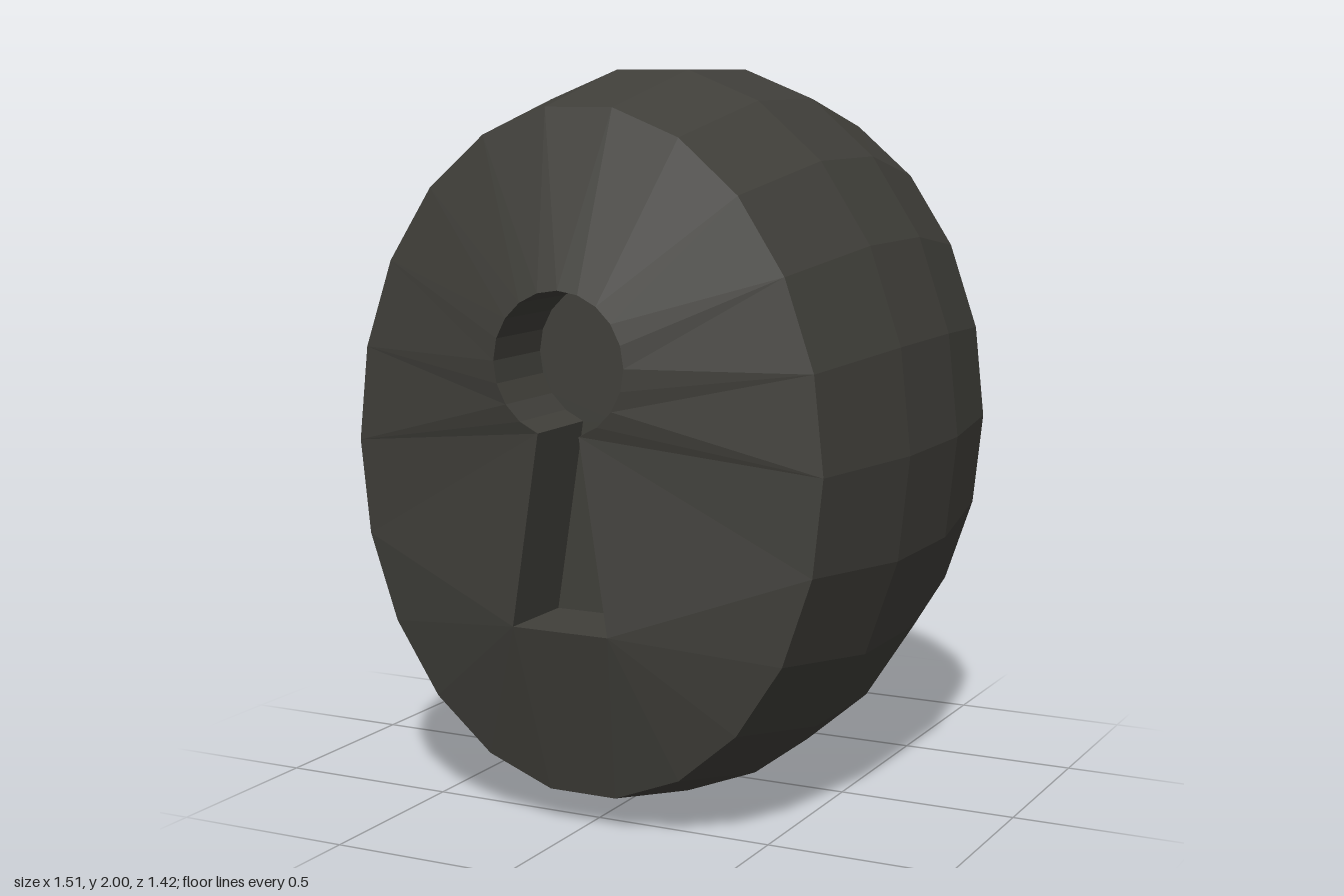
import * as THREE from 'three';

const SIDES = 22, MID_Y = 1;
const RIM_Z = 0.593, FACE_Z = 0.71, FLOOR_Z = 0.47;

// Oval cross-section, counter-clockwise from the lower left vertex of the flat bottom
function oval(rx, ry, z) {
  return Array.from({ length: SIDES }, (_, i) => {
    const a = -Math.PI / 2 + ((i - 0.5) / SIDES) * Math.PI * 2;
    return new THREE.Vector3(rx * Math.cos(a), MID_Y + ry * Math.sin(a), z);
  });
}

// Keyhole outline, counter-clockwise from the lower left corner
function keyhole(z) {
  const pts = [[-0.14, 0.56], [0.14, 0.56]];
  const steps = 18, r = 0.19, cy = 1.257, start = -1.25;
  const sweep = Math.PI - 2 * start;
  for (let i = 0; i <= steps; i++) {
    const a = start + (sweep * i) / steps;
    pts.push([r * Math.cos(a), cy + r * Math.sin(a)]);
  }
  return pts.map(([x, y]) => new THREE.Vector3(x, y, z));
}

// Band of quads between two matching loops, a in front of b, facing outward
function band(a, b) {
  return a.flatMap((p, i) => {
    const k = (i + 1) % a.length;
    return [p, b[i], b[k], p, b[k], a[k]];
  });
}

// Ring of triangles between two loops of different counts, facing +z
function stitch(outer, inner) {
  const tris = [];
  const n = outer.length, m = inner.length;
  let i = 0, j = 0;
  while (i < n || j < m) {
    const o = outer[i % n], o2 = outer[(i + 1) % n];
    const p = inner[j % m], p2 = inner[(j + 1) % m];
    if (j >= m || (i < n && o2.distanceTo(p) <= o.distanceTo(p2))) {
      tris.push(o, o2, p);
      i++;
    } else {
      tris.push(o, p2, p);
      j++;
    }
  }
  return tris;
}

export function createModel() {
  const group = new THREE.Group();
  const material = new THREE.MeshStandardMaterial({ color: 0x403f3a, flatShading: true });

  const add = (parent, name, points) => {
    const geometry = new THREE.BufferGeometry().setFromPoints(points);
    geometry.computeVertexNormals();
    const mesh = new THREE.Mesh(geometry, material);
    mesh.name = name;
    parent.add(mesh);
  };

  // Barrel-shaped body
  const rings = [
    oval(0.687, 0.915, RIM_Z), oval(0.757, 1.01, 0.18),
    oval(0.757, 1.01, -0.18), oval(0.687, 0.915, -RIM_Z),
  ];
  add(group, 'body', rings.slice(1).flatMap((ring, i) => band(rings[i], ring)));

  // Sloped face with a recessed keyhole, the same on both ends
  const edge = keyhole(FACE_Z), floorEdge = keyhole(FLOOR_Z);
  const outline = floorEdge.map((p) => new THREE.Vector2(p.x, p.y));
  const floor = THREE.ShapeUtils.triangulateShape(outline, []).flat().map((i) => floorEdge[i]);
  for (const side of ['front', 'back']) {
    const end = new THREE.Group();
    end.name = side + 'End';
    add(end, side + 'Face', stitch(rings[0], edge));
    add(end, side + 'KeyholeWall', band(floorEdge, edge));
    add(end, side + 'KeyholeFloor', floor);
    if (side === 'back') end.rotation.y = Math.PI;
    group.add(end);
  }
  return group;
}
